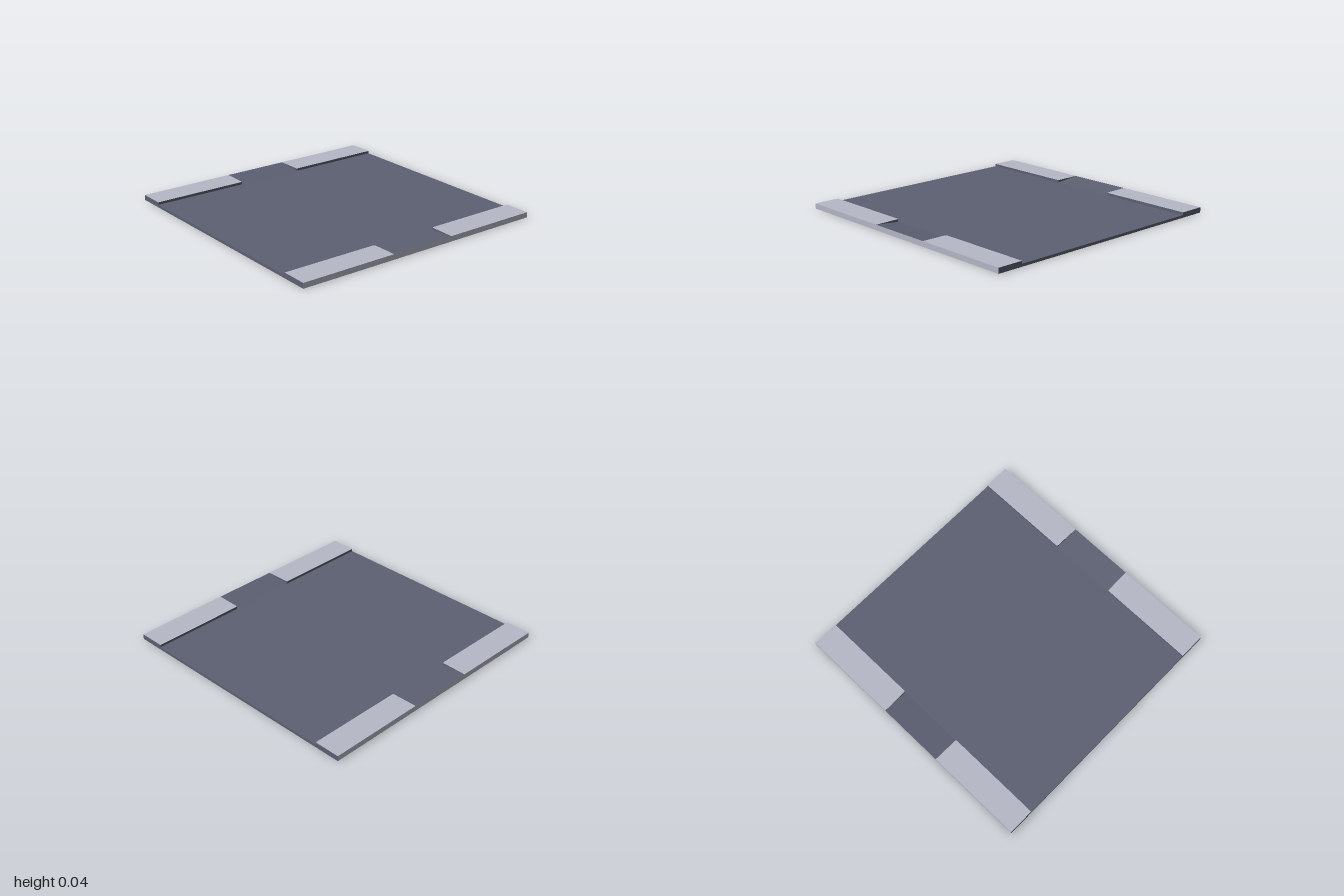
import * as THREE from 'three';

const BASE = 0.02, TOP = 0.04, KERB = 0.8;

const pavement = new THREE.MeshStandardMaterial({ color: 0xb6b8c8 });
pavement.name = 'pavementGrey';
const asphalt = new THREE.MeshStandardMaterial({ color: 0x5d6072 });
asphalt.name = 'asphaltGrey';
const materials = [pavement, asphalt];

// Group triangles by normal: isPavement(normal) picks the light material
function paint(geometry, isPavement) {
  const g = geometry.index ? geometry.toNonIndexed() : geometry;
  g.clearGroups();
  const n = g.attributes.normal;
  for (let i = 0; i < n.count; i += 3) {
    const normal = new THREE.Vector3().fromBufferAttribute(n, i);
    g.addGroup(i, 3, isPavement(normal) ? 0 : 1);
  }
  return g;
}

function extrude(points, depth) {
  const shape = new THREE.Shape(points.map(([x, y]) => new THREE.Vector2(x, y)));
  return new THREE.ExtrudeGeometry(shape, { depth, bevelEnabled: false });
}

function add(parent, name, geometry) {
  const mesh = new THREE.Mesh(geometry, materials);
  mesh.name = name;
  parent.add(mesh);
}

// Raised slab beside the driveway, with a clipped inner corner
function sidewalkGeometry(side) {
  const outline = [[1, 1], [0.257, 1], [0.26, KERB + 0.007], [0.267, KERB], [1, KERB]];
  const g = extrude(outline.map(([x, z]) => [x * side, z]), TOP - BASE);
  g.rotateX(Math.PI / 2).translate(0, TOP, 0);
  return paint(g, (n) => n.y > 0.9 || n.z > 0.9);
}

// Wedge rising from the road to the outer edge
function rampGeometry() {
  const g = extrude([[KERB, BASE], [1, BASE], [1, TOP]], 0.52);
  g.rotateY(-Math.PI / 2).translate(0.26, 0, 0);
  return paint(g, (n) => n.z > 0.9);
}

export function createModel() {
  const model = new THREE.Group();
  model.name = 'roadTile';

  // Road slab: dark top and road ends, light underside and outer edges
  const slab = new THREE.BoxGeometry(2, BASE, 2).translate(0, BASE / 2, 0);
  add(model, 'roadSlab', paint(slab, (n) => n.y < -0.9 || Math.abs(n.z) > 0.9));

  // Same roadside at front and back
  for (const [name, turn] of [['frontRoadside', 0], ['backRoadside', Math.PI]]) {
    const roadside = new THREE.Group();
    roadside.name = name;
    roadside.rotation.y = turn;
    add(roadside, 'leftSidewalk', sidewalkGeometry(1));
    add(roadside, 'rightSidewalk', sidewalkGeometry(-1));
    add(roadside, 'drivewayRamp', rampGeometry());
    model.add(roadside);
  }
  return model;
}
